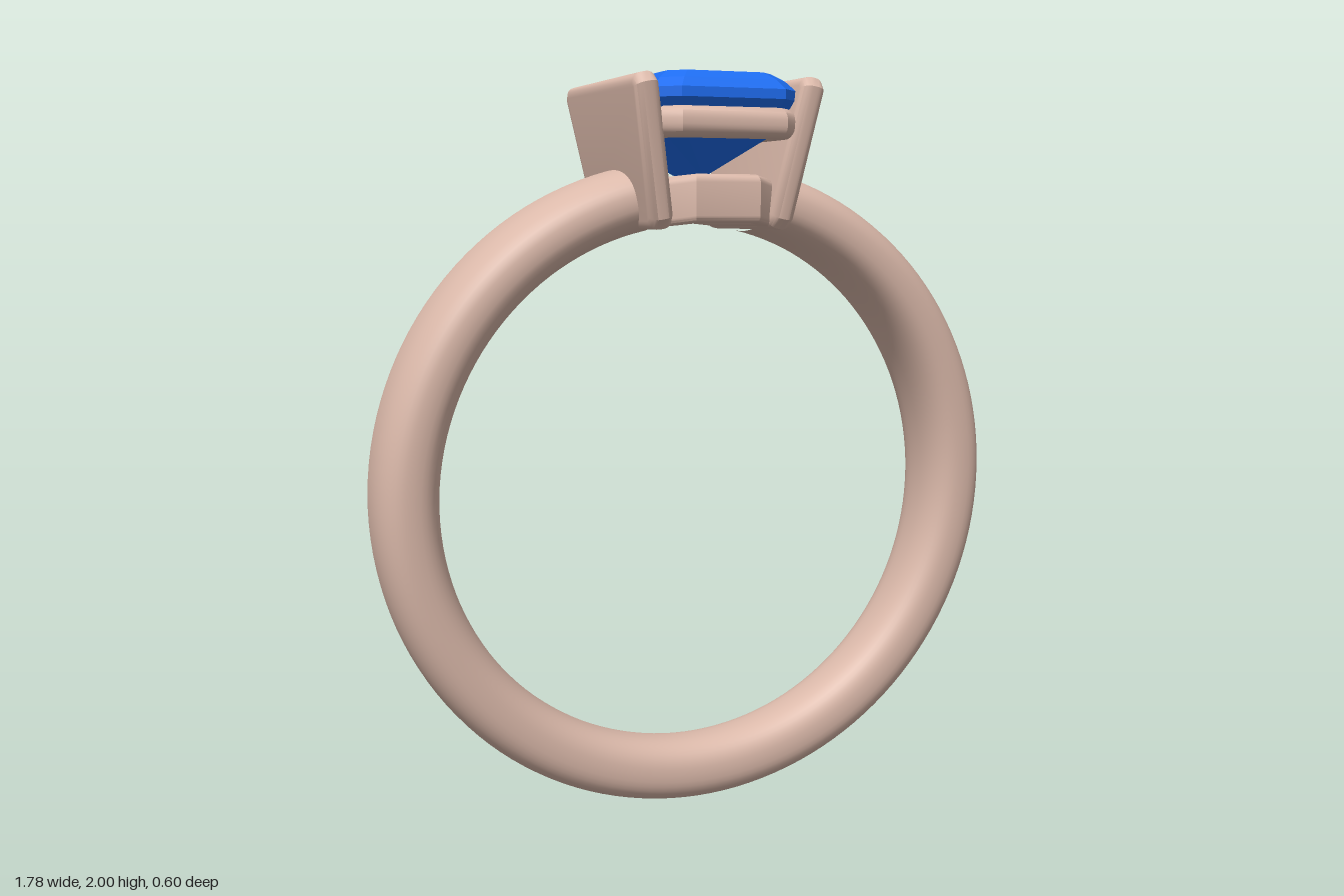
import * as THREE from 'three';
import { toCreasedNormals } from 'three/addons/utils/BufferGeometryUtils.js';
import { ParametricGeometry } from 'three/addons/geometries/ParametricGeometry.js';

const metal = new THREE.MeshStandardMaterial({ color: 0xdbb9aa });
const blue = new THREE.MeshStandardMaterial({ color: 0x1e6df0 });

function add(parent, name, geometry, material) {
  const mesh = new THREE.Mesh(geometry, material);
  mesh.name = name;
  parent.add(mesh);
  return mesh;
}

// Corners of a rectangle with cut corners, half sizes hx and hz
function octagon(hx, hz, cut) {
  const c = cut, q = [[hx, hz - c], [hx - c, hz]];
  return [
    ...q,
    [-hx + c, hz], [-hx, hz - c],
    [-hx, -hz + c], [-hx + c, -hz],
    [hx - c, -hz], [hx, -hz + c],
  ].map(([x, y]) => new THREE.Vector2(x, y));
}

// Extrusion with rounded edges, centred on its thickness, outline kept to size
function roundedExtrude(shape, thickness, bevel) {
  const g = new THREE.ExtrudeGeometry(shape, {
    depth: thickness - 2 * bevel, bevelEnabled: true, bevelThickness: bevel,
    bevelSize: bevel, bevelOffset: -bevel, bevelSegments: 5,
  });
  return g.translate(0, 0, -(thickness - 2 * bevel) / 2);
}

// Shank: a soft oval section swept round the finger, narrowing to the bottom
function bandGeometry() {
  const gap = 0.21, radius = 0.805, cy = 0.892, half = 0.087;
  const soft = (v) => Math.sign(v) * Math.abs(v) ** 0.82;
  return new ParametricGeometry((u, v, p) => {
    const t = gap + u * (2 * Math.PI - 2 * gap), s = v * 2 * Math.PI;
    const r = radius + half * soft(Math.cos(s));
    const y = cy + r * Math.cos(t);
    const width = 0.09 + 0.038 * (cy + radius * Math.cos(t));
    p.set(r * Math.sin(t), y, -width * soft(Math.sin(s)));
  }, 128, 40);
}

// Tapered side plate that grips the long side of the stone
function plateGeometry() {
  const top = 0.29, bottom = 0.235, h = 0.197, c = 0.025;
  const shape = new THREE.Shape([
    [bottom - c, -h], [bottom, -h + c], [top, h - c], [top - c, h],
    [-top + c, h], [-top, h - c], [-bottom, -h + c], [-bottom + c, -h],
  ].map(([x, y]) => new THREE.Vector2(x, y)));
  const g = roundedExtrude(shape, 0.066, 0.026);
  g.rotateY(Math.PI / 2).rotateZ(-0.18).translate(0.2, 1.795, 0);
  return toCreasedNormals(g, 0.6);
}

// Cut-cornered loop lying flat, optionally arched to follow the finger
function railGeometry(hx, hz, cut, wall, height, bevel, y, arch) {
  const shape = new THREE.Shape(octagon(hx, hz, cut));
  shape.holes.push(new THREE.Path(octagon(hx - wall, hz - wall, cut - wall * 0.58)));
  const g = roundedExtrude(shape, height, bevel).rotateX(-Math.PI / 2);
  const p = g.attributes.position;
  for (let i = 0; i < p.count; i++) p.setY(i, p.getY(i) + y - arch * p.getX(i) ** 2);
  g.computeVertexNormals();
  return toCreasedNormals(g, 0.6);
}

// Step-cut stone: flat facets between cut-cornered outlines, top to bottom
function gemGeometry() {
  const levels = [ // y, half x, half z, corner cut
    [2.0, 0.145, 0.235, 0.04], [1.98, 0.175, 0.268, 0.048],
    [1.955, 0.198, 0.292, 0.055], [1.93, 0.198, 0.292, 0.055],
    [1.835, 0.14, 0.225, 0.04], [1.745, 0.014, 0.1, 0.006],
  ];
  const points = [], index = [], last = (levels.length - 1) * 8;
  for (const [y, hx, hz, cut] of levels) {
    for (const p of octagon(hx, hz, cut)) points.push(p.x, y, p.y);
  }
  for (let k = 0; k < last; k += 8) {
    for (let i = 0; i < 8; i++) {
      const a = k + i, b = k + (i + 1) % 8;
      index.push(a, b, a + 8, b, b + 8, a + 8);
    }
  }
  for (let i = 1; i < 7; i++) {
    index.push(0, i + 1, i, last, last + i, last + i + 1);
  }
  const g = new THREE.BufferGeometry();
  g.setAttribute('position', new THREE.Float32BufferAttribute(points, 3));
  g.setIndex(index);
  const flat = g.toNonIndexed();
  flat.computeVertexNormals();
  return flat;
}

export function createModel() {
  const ring = new THREE.Group();
  ring.name = 'ring';
  add(ring, 'band', bandGeometry(), metal);

  const setting = new THREE.Group();
  setting.name = 'setting';
  ring.add(setting);
  const plate = plateGeometry();
  add(setting, 'leftPlate', plate, metal);
  add(setting, 'rightPlate', plate, metal).rotation.y = Math.PI;
  add(setting, 'upperRail', railGeometry(0.195, 0.302, 0.05, 0.07, 0.08, 0.033, 1.87, 0), metal);
  add(setting, 'lowerRail', railGeometry(0.16, 0.258, 0.07, 0.055, 0.125, 0.02, 1.683, 0.65), metal);

  add(ring, 'gemstone', gemGeometry(), blue);
  return ring;
}
